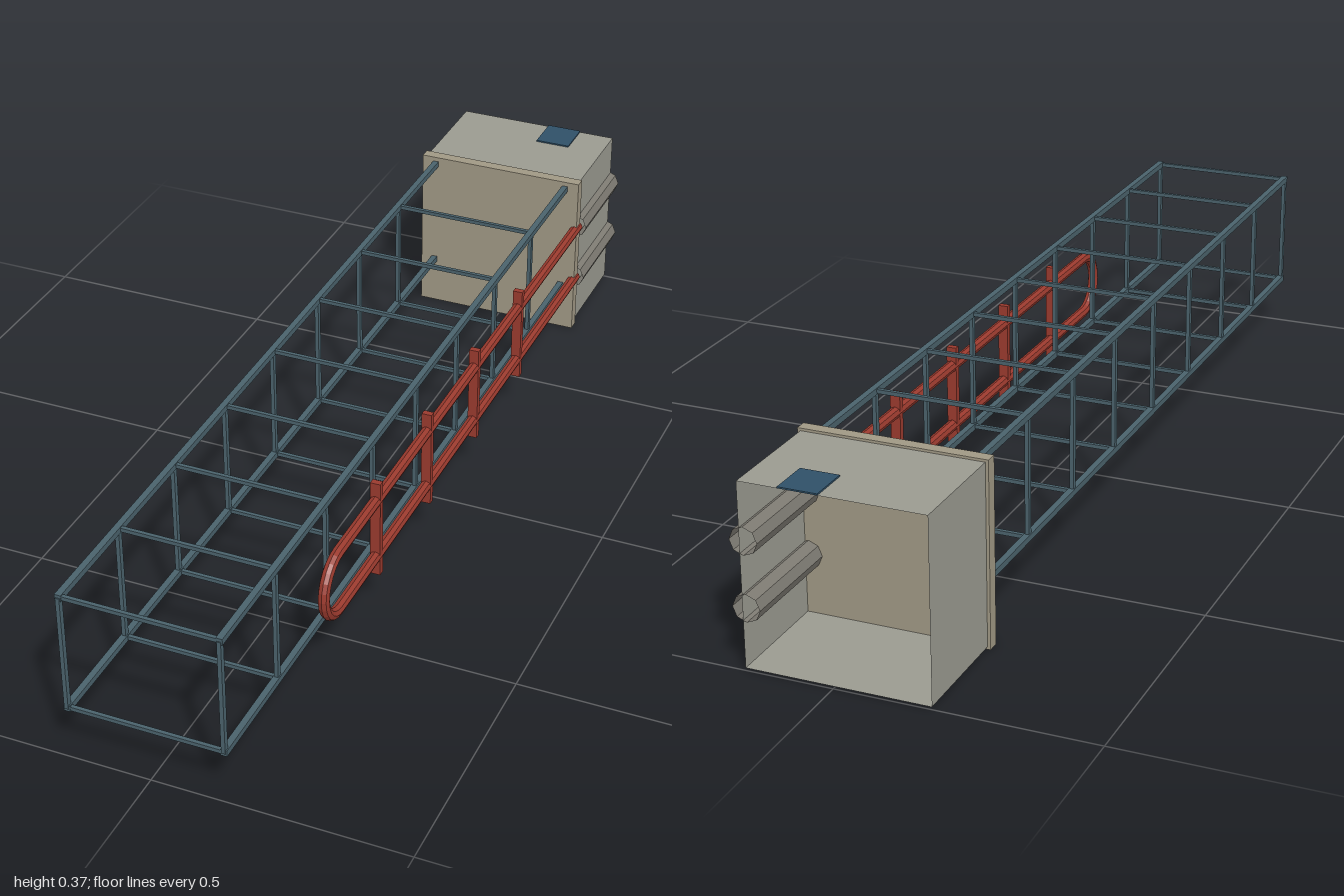
import * as THREE from 'three';

const mat = (color, extra = {}) =>
  new THREE.MeshStandardMaterial({ color, flatShading: true, ...extra });

export function createModel() {
  const model = new THREE.Group();
  const steel = mat(0x4a626c);
  const red = mat(0x9a3a2e);
  const sheet = mat(0x9a9a90, { side: THREE.DoubleSide });
  const plateMat = mat(0xa09884);
  const sleeveMat = mat(0x7d7a72, { side: THREE.DoubleSide });
  const blue = mat(0x2f5068);

  const add = (name, geometry, material, x, y, z, parent = model) => {
    const mesh = new THREE.Mesh(geometry, material);
    mesh.name = name;
    mesh.position.set(x, y, z);
    parent.add(mesh);
    return mesh;
  };
  const box = (name, material, x0, x1, y0, y1, z0, z1, parent) =>
    add(name, new THREE.BoxGeometry(x1 - x0, y1 - y0, z1 - z0), material,
      (x0 + x1) / 2, (y0 + y1) / 2, (z0 + z1) / 2, parent);

  // Housing: sheet box, open at the back
  const housing = new THREE.Group();
  housing.name = 'housing';
  model.add(housing);
  const X0 = -0.187, X1 = 0.17, Y0 = 0.005, Y1 = 0.362, Z0 = -1, Z1 = -0.768;
  const cx = (X0 + X1) / 2, cy = (Y0 + Y1) / 2, cz = (Z0 + Z1) / 2;
  for (const [name, x] of [['rightWall', X0], ['leftWall', X1]]) {
    add(name, new THREE.PlaneGeometry(Z1 - Z0, Y1 - Y0), sheet, x, cy, cz, housing)
      .rotation.y = x === X0 ? -Math.PI / 2 : Math.PI / 2;
  }
  for (const [name, y] of [['floor', Y0], ['roof', Y1]]) {
    add(name, new THREE.PlaneGeometry(X1 - X0, Z1 - Z0), sheet, cx, y, cz, housing)
      .rotation.x = y === Y0 ? Math.PI / 2 : -Math.PI / 2;
  }
  box('mountingPlate', plateMat, -0.193, 0.176, 0, 0.367, -0.769, -0.745, housing);
  box('roofPatch', blue, 0.016, 0.092, 0.362, 0.365, -1, -0.917, housing);

  // Open frame: four rails joined by evenly spaced thin rods
  const frame = new THREE.Group();
  frame.name = 'frame';
  model.add(frame);
  const railX = [-0.1615, 0.1445], railY = [0.108, 0.351], r = 0.0063, t = 0.004;
  for (const x of railX) for (const y of railY)
    box('rail', steel, x - r, x + r, y - r, y + r, -0.746, 0.997, frame);
  for (let i = 0; i < 8; i++) {
    const z = 0.992 - i * 0.217;
    for (const y of railY)
      box('crossRod', steel, railX[0], railX[1], y - t, y + t, z - t, z + t, frame);
    for (const x of railX)
      box('uprightRod', steel, x - t, x + t, railY[0], railY[1], z - t, z + t + 0.003, frame);
  }

  // U-shaped red pipe beside the frame
  const pipeX = 0.1705, yTop = 0.25, yLow = 0.122, bendZ = 0.565, pipeR = 0.0115;
  const loop = new THREE.Group();
  loop.name = 'pipeLoop';
  model.add(loop);
  const zEnd = -0.77, length = bendZ - zEnd;
  for (const y of [yTop, yLow]) {
    const straight = new THREE.CylinderGeometry(pipeR, pipeR, length, 8);
    add('straightPipe', straight.rotateX(Math.PI / 2), red, pipeX, y, (bendZ + zEnd) / 2, loop);
  }
  const bend = new THREE.TorusGeometry((yTop - yLow) / 2, pipeR, 8, 12, Math.PI);
  bend.rotateZ(-Math.PI / 2).rotateY(-Math.PI / 2);
  add('pipeBend', bend, red, pipeX, (yTop + yLow) / 2, bendZ, loop);
  for (let i = 0; i < 4; i++) {
    const z = 0.383 - i * 0.2565;
    box('pipeClamp', red, 0.16, 0.1805, 0.081, 0.29, z - 0.0065, z + 0.0065, loop);
  }

  // Wide open sleeves carrying the pipes through the housing wall
  for (const y of [yTop, yLow]) {
    const sleeve = new THREE.CylinderGeometry(0.027, 0.027, 0.231, 8, 1, true);
    sleeve.rotateY(Math.PI / 2).rotateX(Math.PI / 2);
    add('pipeSleeve', sleeve, sleeveMat, 0.163, y, -0.8845);
  }
  return model;
}
